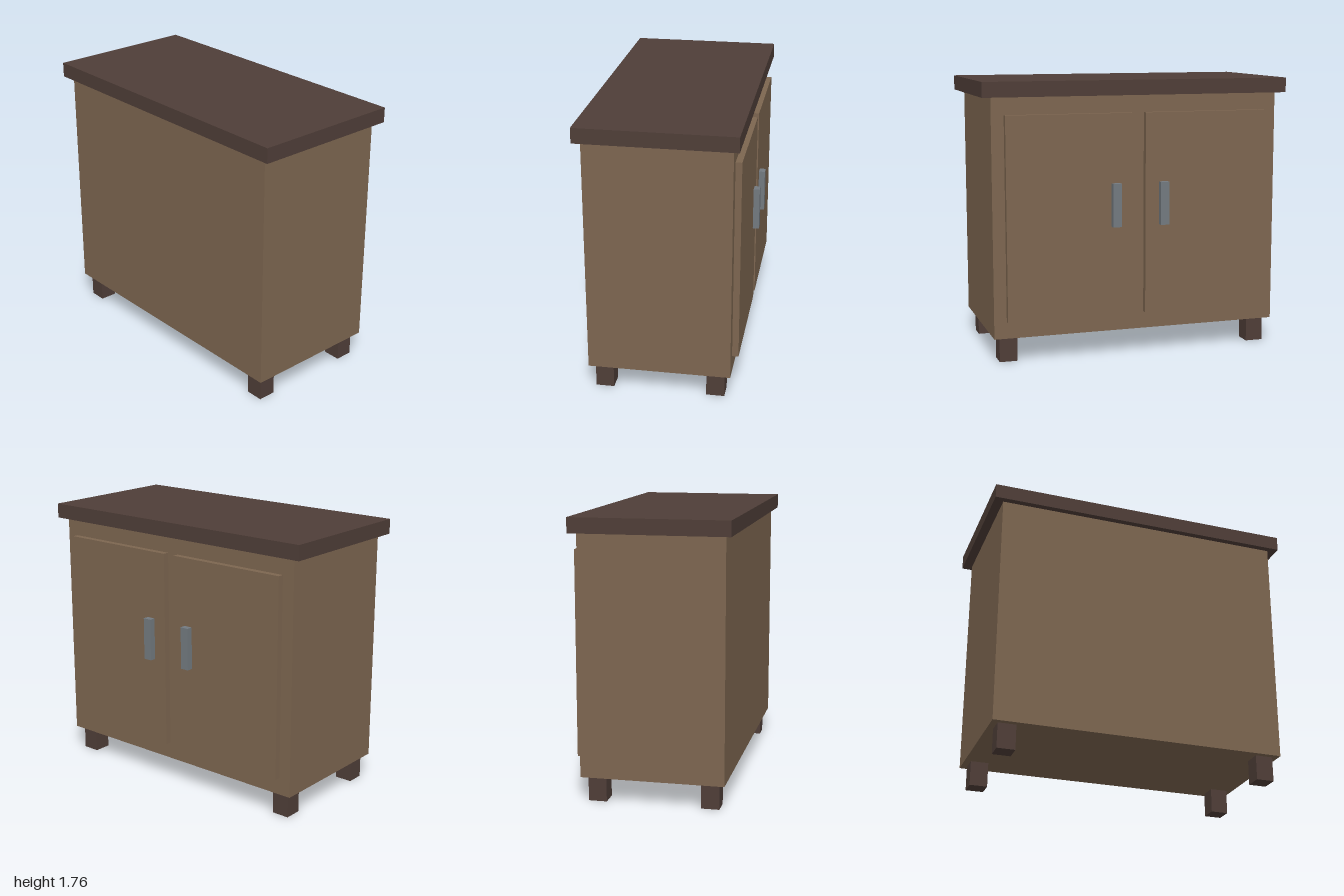
import * as THREE from 'three';

const material = (name, color) => {
  const m = new THREE.MeshStandardMaterial({ color });
  m.name = name;
  return m;
};

export function createModel() {
  const cabinet = new THREE.Group();
  cabinet.name = 'cabinet';
  const wood = material('wood', 0x7d6650);
  const darkWood = material('darkWood', 0x4f3e38);
  const metal = material('greyMetal', 0x737a80);

  // Box given by its lower and upper limits on each axis
  const box = (name, mat, [x0, x1], [y0, y1], [z0, z1]) => {
    const mesh = new THREE.Mesh(new THREE.BoxGeometry(x1 - x0, y1 - y0, z1 - z0), mat);
    mesh.position.set((x0 + x1) / 2, (y0 + y1) / 2, (z0 + z1) / 2);
    mesh.name = name;
    cabinet.add(mesh);
  };

  box('body', wood, [-0.94, 0.94], [0.16, 1.67], [-0.43, 0.47]);
  box('top', darkWood, [-1, 1], [1.67, 1.765], [-0.47, 0.51]);

  // Mirrored doors, handles and legs
  for (const [side, s] of [['left', 1], ['right', -1]]) {
    const mirror = (a, b) => (s > 0 ? [a, b] : [-b, -a]);
    box(side + 'Door', wood, mirror(0.04, 0.86), [0.27, 1.56], [-0.47, -0.43]);
    box(side + 'Handle', metal, mirror(0.13, 0.187), [0.845, 1.12], [-0.51, -0.47]);
    box(side + 'FrontLeg', darkWood, mirror(0.785, 0.9), [0, 0.16], [0.318, 0.433]);
    box(side + 'BackLeg', darkWood, mirror(0.785, 0.9), [0, 0.16], [-0.39, -0.275]);
  }
  return cabinet;
}
